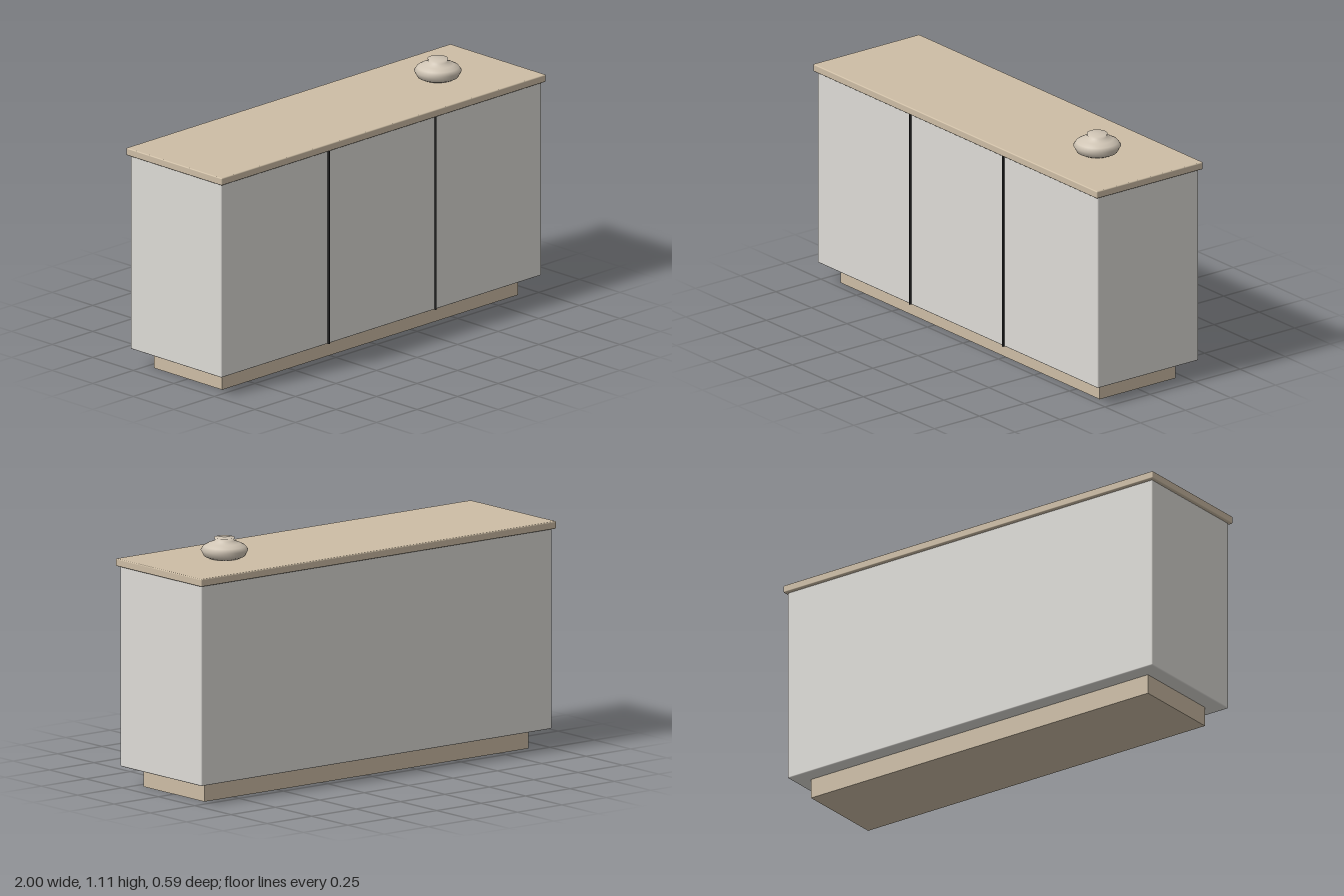
import * as THREE from 'three';
import { RoundedBoxGeometry } from 'three/addons/geometries/RoundedBoxGeometry.js';

const mat = (color) => new THREE.MeshStandardMaterial({ color });

export function createModel() {
  const group = new THREE.Group();
  const wood = mat(0xcdbda5);
  const paint = mat(0xdddbd6);
  const dark = mat(0x2a2a2a);
  const ceramic = mat(0xcfc4b4);

  const add = (name, geometry, material, x, y, z) => {
    const mesh = new THREE.Mesh(geometry, material);
    mesh.name = name;
    mesh.position.set(x, y, z);
    group.add(mesh);
  };

  // Recessed base, cabinet body and overhanging top
  add('plinth', new THREE.BoxGeometry(1.824, 0.09, 0.42), wood, 0, 0.045, 0);
  add('cabinetBody', new RoundedBoxGeometry(1.974, 0.892, 0.56, 3, 0.006), paint, 0, 0.535, 0);
  add('top', new RoundedBoxGeometry(2, 0.034, 0.59, 3, 0.005), wood, 0, 0.997, 0);

  // Dark seams dividing the front into three doors
  for (const side of [-1, 1]) {
    const name = side < 0 ? 'rightDoorSeam' : 'leftDoorSeam';
    add(name, new THREE.BoxGeometry(0.006, 0.89, 0.014), dark, side * 0.329, 0.535, 0.282);
  }

  // Squat turned bowl with a short, slightly flared neck
  const profile = [
    [0, 0], [0.07, 0.002], [0.09, 0.012], [0.104, 0.039],
    [0.092, 0.056], [0.07, 0.068], [0.041, 0.079], [0.045, 0.093], [0, 0.093],
  ].map(([r, y]) => new THREE.Vector2(r, y));
  add('bowl', new THREE.LatheGeometry(profile, 40), ceramic, 0.628, 1.014, 0);

  return group;
}
